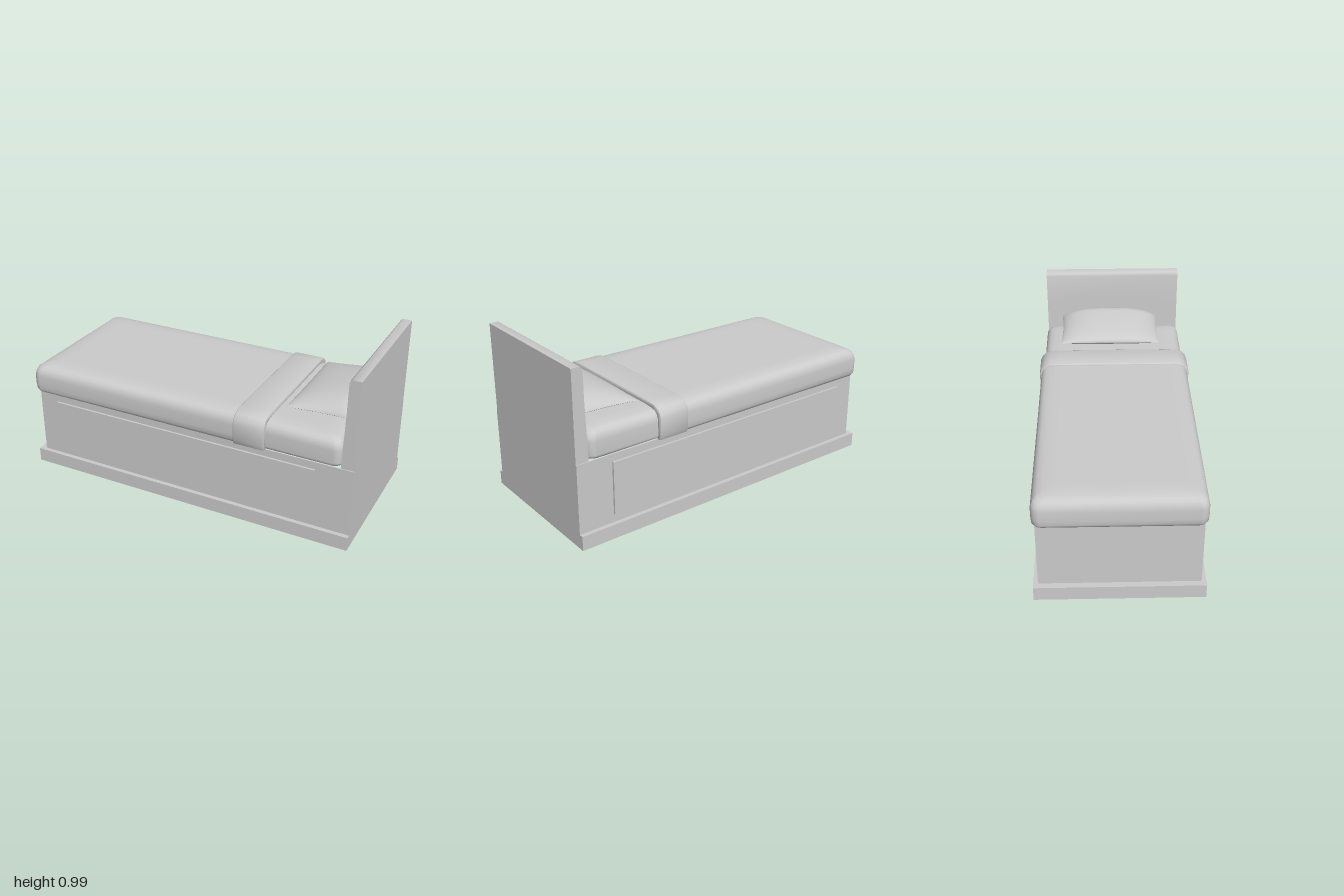
import * as THREE from 'three';
import { toCreasedNormals } from 'three/addons/utils/BufferGeometryUtils.js';

const material = new THREE.MeshStandardMaterial({ color: 0xcccccc, side: THREE.DoubleSide });

function add(parent, name, geometry, x = 0, y = 0, z = 0) {
  const mesh = new THREE.Mesh(geometry, material);
  mesh.name = name;
  mesh.position.set(x, y, z);
  parent.add(mesh);
  return mesh;
}

function rect(path, x0, x1, halfZ) {
  path.moveTo(x0, -halfZ);
  path.lineTo(x1, -halfZ);
  path.lineTo(x1, halfZ);
  path.lineTo(x0, halfZ);
  path.closePath();
  return path;
}

// Upright rectangular frame, open above and below; outer and inner are [x0, x1, halfZ]
function frame(outer, inner, height) {
  const shape = rect(new THREE.Shape(), ...outer);
  shape.holes.push(rect(new THREE.Path(), ...inner));
  const g = new THREE.ExtrudeGeometry(shape, { depth: height, bevelEnabled: false });
  return g.rotateX(-Math.PI / 2);
}

// Soft cover open below: rings of [inset, y] around one rounded end, cut straight at the other
function cover(xEnd, xCut, halfZ, levels) {
  const K = 5, dir = Math.sign(xEnd - xCut), pos = [], index = [];
  const n = 2 * K + 4;
  for (const [inset, y] of levels) {
    const w = halfZ - inset, r = 0.045, xe = xEnd - dir * inset;
    const half = [[xCut, w]];
    for (let k = 0; k <= K; k++) {
      const a = (k / K) * Math.PI / 2;
      half.push([xe - dir * r * (1 - Math.sin(a)), w - r * (1 - Math.cos(a))]);
    }
    half.forEach(([x, z]) => pos.push(x, y, -z));
    half.reverse().forEach(([x, z]) => pos.push(x, y, z));
  }
  const quad = (a, b, c, d) => {
    if (dir < 0) index.push(a, b, c, a, c, d);
    else index.push(a, c, b, a, d, c);
  };
  for (let j = 0; j < levels.length - 1; j++)
    for (let i = 0; i < n - 1; i++)
      quad(j * n + i, j * n + i + 1, (j + 1) * n + i + 1, (j + 1) * n + i);
  const top = (levels.length - 1) * n;
  for (let i = 0; i < n / 2 - 1; i++) quad(top + i, top + i + 1, top + n - 2 - i, top + n - 1 - i);
  const g = new THREE.BufferGeometry();
  g.setAttribute('position', new THREE.Float32BufferAttribute(pos, 3));
  g.setIndex(index);
  g.computeVertexNormals();
  return g;
}

// One face of the pillow: a grid bulging up (side 1) or down (side -1) from its seam
function pillowFace(side) {
  const g = new THREE.PlaneGeometry(2, 2, 24, 24).rotateX(-Math.PI / 2);
  const p = g.attributes.position;
  for (let i = 0; i < p.count; i++) {
    // crowd grid lines towards the seam
    const u = Math.sin(p.getX(i) * Math.PI / 2), v = Math.sin(p.getZ(i) * Math.PI / 2);
    const t = (u + 1) / 2;
    const across = Math.pow(Math.max(0, 1 - Math.abs(v) ** 3), 0.7);
    const along = Math.pow(t, 0.45) * (1 - t ** 20);
    const bulge = side > 0 ? 0.09 * along : -0.032 * Math.sqrt(Math.max(0, 1 - u ** 4));
    const x = 0.737 + 0.18 * u * (1 - 0.03 * (1 - v * v));
    const z = -0.02 + 0.31 * v * (1 - 0.03 * (1 - u * u));
    p.setXYZ(i, x, 0.682 + 0.015 * t + bulge * across, z);
  }
  if (side < 0) {
    const a = g.index.array;
    for (let i = 0; i < a.length; i += 3) [a[i], a[i + 1]] = [a[i + 1], a[i]];
  }
  g.computeVertexNormals();
  return g;
}

export function createModel() {
  const bed = new THREE.Group();
  bed.name = 'bed';

  // Hollow base: plinth, walls and raised side panels
  add(bed, 'plinth', frame([-1, 1, 0.455], [-0.96, 0.996, 0.426], 0.083));
  add(bed, 'baseWalls', frame([-0.965, 1, 0.43], [-0.961, 0.996, 0.426], 0.4), 0, 0.08, 0);
  for (const s of [1, -1])
    add(bed, s > 0 ? 'frontPanel' : 'backPanel',
      new THREE.BoxGeometry(1.635, 0.302, 0.018), -0.0275, 0.286, s * 0.433);

  // Headboard with a slightly tapered, eased top
  const board = new THREE.Shape([[0.925, 0.48], [1, 0.48], [1, 0.992], [0.95, 0.992],
    [0.94, 0.985], [0.936, 0.97], [0.934, 0.8]].map(([x, y]) => new THREE.Vector2(x, y)));
  const boardGeometry = new THREE.ExtrudeGeometry(board, { depth: 0.85, bevelEnabled: false });
  add(bed, 'headboard', toCreasedNormals(boardGeometry, 0.7), 0, 0, -0.425);

  // Mattress: blanket over the foot, sheet at the head
  add(bed, 'blanket', cover(-1, 0.42, 0.448, [[0.03, 0.48], [0.01, 0.484], [0.002, 0.5],
    [0, 0.53], [0, 0.585], [0.005, 0.61], [0.015, 0.63], [0.032, 0.643], [0.06, 0.651],
    [0.1, 0.655], [0.14, 0.656]]));
  add(bed, 'sheet', cover(0.924, 0.4, 0.432, [[0.015, 0.48], [0.004, 0.485], [0, 0.5],
    [0, 0.575], [0.004, 0.6], [0.014, 0.62], [0.032, 0.633], [0.06, 0.639],
    [0.1, 0.642], [0.13, 0.643]]));

  // Folded blanket band wrapping the mattress
  const outer = [[0.428, 0.48], [0.443, 0.482], [0.452, 0.505], [0.452, 0.6], [0.442, 0.626],
    [0.423, 0.646], [0.395, 0.657], [0.34, 0.661]];
  const inner = [[0.36, 0.637], [0.4, 0.628], [0.425, 0.595], [0.425, 0.48]];
  const mirror = list => list.map(([z, y]) => [-z, y]).reverse();
  const outline = [...outer, ...mirror(outer), ...mirror(inner), ...inner];
  const bandShape = new THREE.Shape(outline.map(([z, y]) => new THREE.Vector2(z, y)));
  const band = new THREE.ExtrudeGeometry(bandShape, {
    depth: 0.168, bevelSize: 0.005, bevelThickness: 0.006, bevelSegments: 2,
  }).rotateY(Math.PI / 2);
  add(bed, 'blanketFold', toCreasedNormals(band, 0.8), 0.327, 0, 0);

  // Pillow
  const pillow = new THREE.Group();
  pillow.name = 'pillow';
  add(pillow, 'pillowTop', pillowFace(1));
  add(pillow, 'pillowUnderside', pillowFace(-1));
  bed.add(pillow);

  return bed;
}
